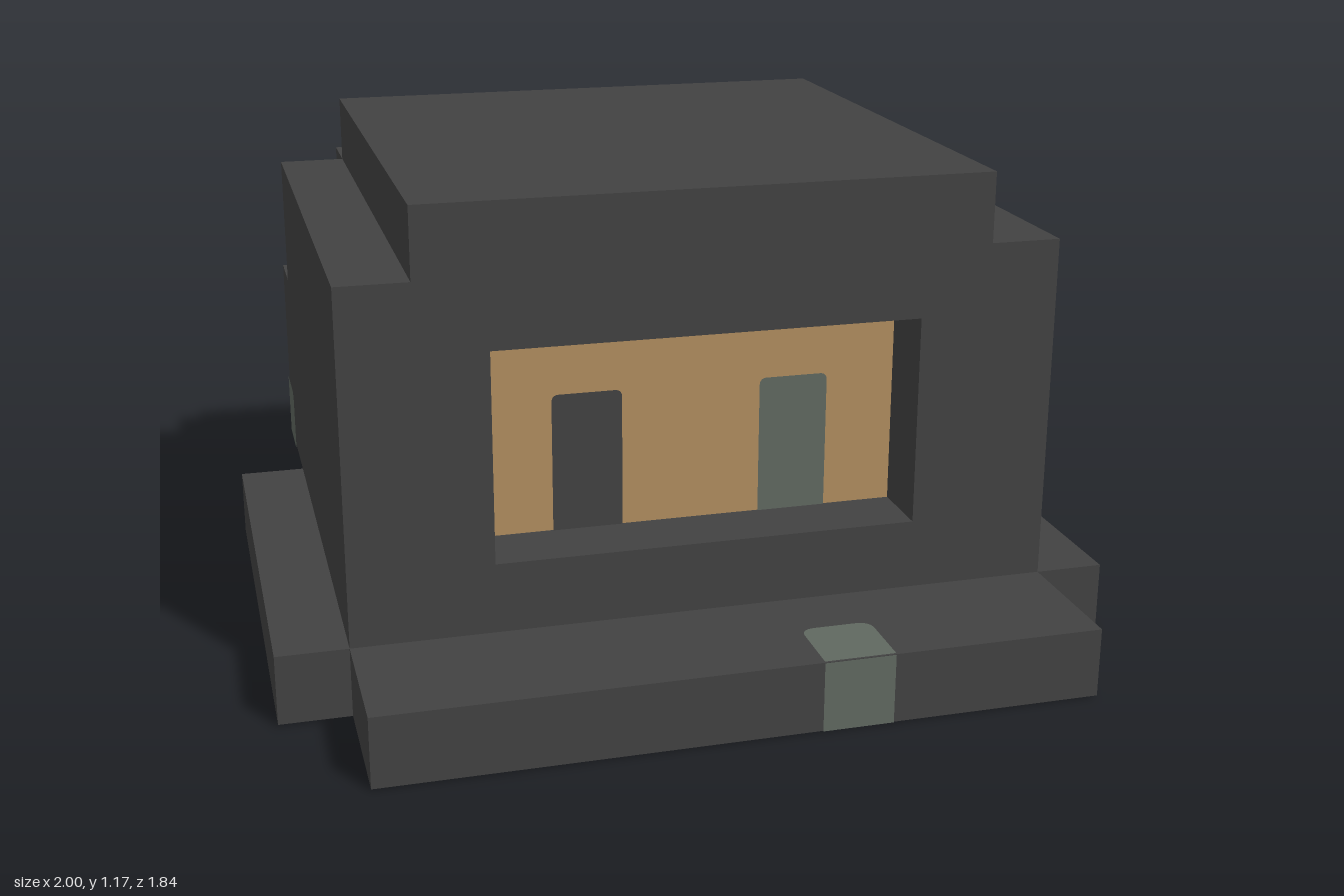
import * as THREE from 'three';

const U = 1 / 6; // grid module
const LIFT = 0.003; // painted faces sit just above the walls

const material = (name, color) => {
  const m = new THREE.MeshStandardMaterial({ color });
  m.name = name;
  return m;
};

// Polygon mirrored across x = 0 from its right-hand outline, in modules
function mirrored(points) {
  const left = points.map(([x, y]) => [-x, y]).reverse();
  return new THREE.Shape([...points, ...left].map(([x, y]) => new THREE.Vector2(x * U, y * U)));
}

// Upright face with its base at the origin and separately rounded top corners
function patchShape(w, h, rl, rr) {
  const s = new THREE.Shape();
  s.moveTo(-w / 2, 0);
  s.lineTo(w / 2, 0);
  s.lineTo(w / 2, h - rr);
  if (rr) s.quadraticCurveTo(w / 2, h, w / 2 - rr, h);
  s.lineTo(-w / 2 + rl, h);
  if (rl) s.quadraticCurveTo(-w / 2, h, -w / 2, h - rl);
  s.closePath();
  return s;
}

export function createModel() {
  const group = new THREE.Group();
  const dark = material('charcoal', 0x424242);
  const tan = material('tan', 0xb08d5f);
  const green = material('grey green', 0x606860);

  const add = (name, geometry, mat, pos, rot = [0, 0, 0]) => {
    const mesh = new THREE.Mesh(geometry, mat);
    mesh.name = name;
    mesh.position.set(...pos);
    mesh.rotation.set(...rot);
    group.add(mesh);
  };
  const slab = (name, shape, depth, pos, rot) =>
    add(name, new THREE.ExtrudeGeometry(shape, { depth: depth * U, bevelEnabled: false }), dark, pos, rot);
  const patch = (name, mat, [w, h, rl, rr], pos, rot) =>
    add(name, new THREE.ShapeGeometry(patchShape(w, h, rl, rr)), mat, pos, rot);

  // Base plate with side ledges and a front step (plan y is -z)
  const plan = mirrored([[5, -5.5], [5, -3.5], [6, -3.5], [6, 3.5]]);
  slab('base', plan, 1, [0, 0, 0], [-Math.PI / 2, 0, 0]);

  // Main body and stepped roof, with a recessed opening at the front
  const section = [[5, 1], [5, 6], [4, 6], [4, 7]];
  slab('body', mirrored(section), 7, [0, 0, -4.5 * U]);
  const front = mirrored(section);
  front.holes.push(mirrored([[3, 2], [3, 5]]));
  slab('frontWall', front, 1, [0, 0, 2.5 * U]);

  // Back slab with notched upper corners
  slab('backSlab', mirrored([[5, 1], [5, 4], [4, 4], [4, 6]]), 1, [0, 0, -5.5 * U]);

  // Face panel and its two upright marks
  const zPanel = 2.5 * U + LIFT;
  patch('facePanel', tan, [6 * U, 3 * U, 0, 0], [0, 2 * U, zPanel]);
  const eye = [U, 2 * U, 0.018, 0.018];
  patch('rightEye', dark, eye, [-1.5 * U, 2 * U, zPanel + LIFT]);
  patch('leftEye', green, eye, [1.5 * U, 2 * U, zPanel + LIFT]);

  // Marker wrapping the front edge of the base
  const r = 0.035, x = 1.5 * U, zf = 5.5 * U;
  patch('frontMarkerFace', green, [U, U, 0, 0], [x, 0, zf + LIFT]);
  patch('frontMarkerTop', green, [U, U, r, r], [x, U + LIFT, zf], [-Math.PI / 2, 0, 0]);
  patch('frontMarkerUnderside', green, [U, U, r, r], [x, -LIFT, zf], [Math.PI / 2, 0, Math.PI]);

  // Marker wrapping the lower back corner
  patch('backMarkerFace', green, [U, U, r, 0], [-4.5 * U, U, -zf - LIFT], [0, Math.PI, 0]);
  patch('backMarkerSide', green, [U, U, 0, r], [-5 * U - LIFT, U, -5 * U], [0, -Math.PI / 2, 0]);
  patch('backMarkerUnderside', green, [U, U, 0, r], [-4.5 * U, U - LIFT, -zf], [Math.PI / 2, 0, 0]);

  return group;
}
